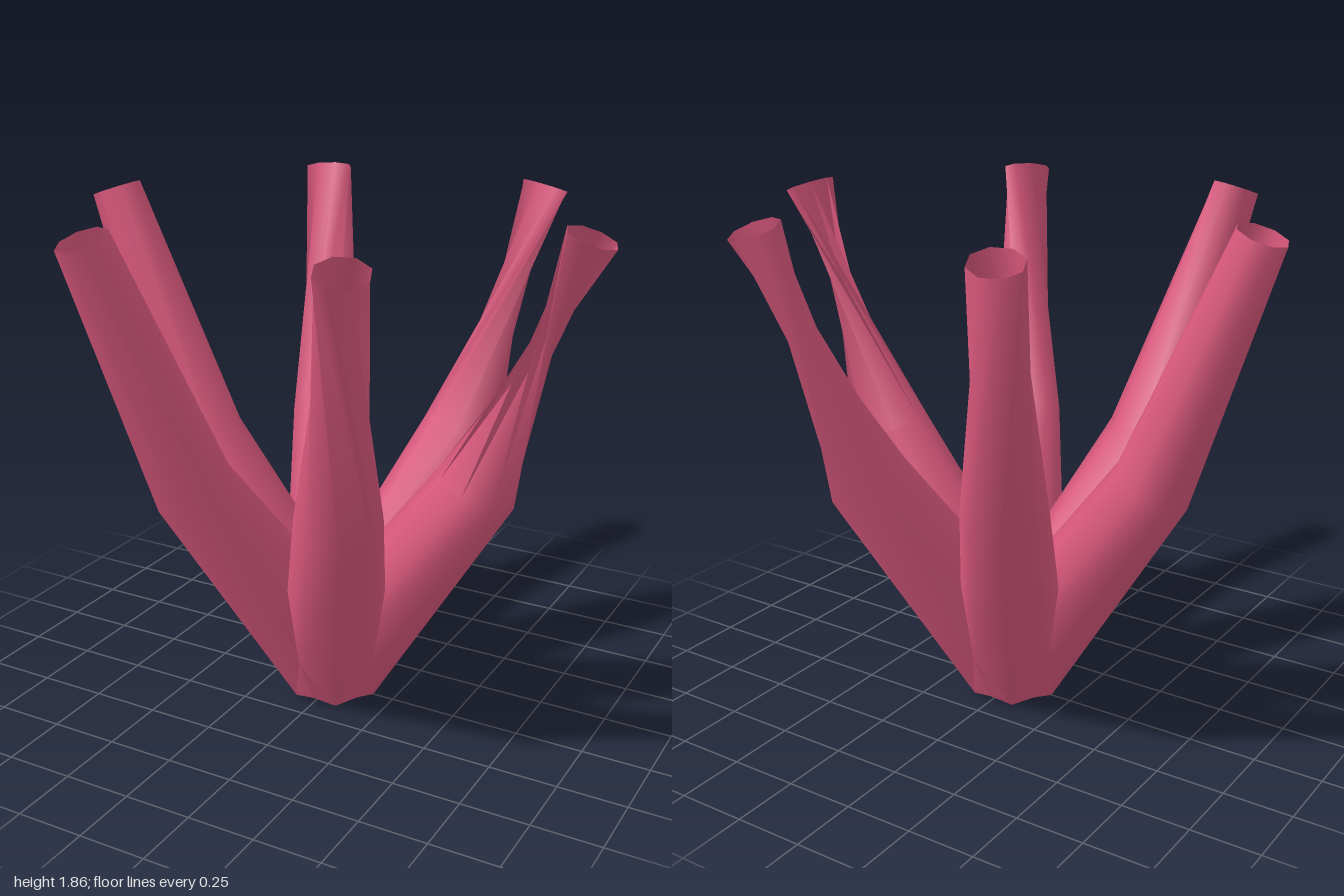
import * as THREE from 'three';

const SIDES = 8;

// Ring stations of every arm: distance from the axis, height, radius, lean.
const STATIONS = [
  { out: 0, y: 0.115, r: 0.2, lean: 0.57 },
  { out: 0.565, y: 0.94, r: 0.148, lean: 0.42 },
  { out: 0.917, y: 1.84, r: 0.09, lean: 0.34 },
];

// One open tube; the tip ring keeps a fixed heading, so the arm twists.
function armGeometry(azimuth) {
  const outward = new THREE.Vector3(Math.cos(azimuth), 0, Math.sin(azimuth));
  const axis = new THREE.Vector3(0, 1, 0).cross(outward);
  const positions = [];
  const indices = [];
  STATIONS.forEach((s, level) => {
    const start = level === 2 ? Math.PI : azimuth;
    for (let i = 0; i < SIDES; i++) {
      const a = start + (i / SIDES) * Math.PI * 2;
      const p = new THREE.Vector3(Math.cos(a) * s.r, 0, Math.sin(a) * s.r);
      p.applyAxisAngle(axis, s.lean).addScaledVector(outward, s.out);
      positions.push(p.x, p.y + s.y, p.z);
    }
  });
  for (let level = 0; level < STATIONS.length - 1; level++) {
    for (let i = 0; i < SIDES; i++) {
      const b = level * SIDES + i;
      const c = level * SIDES + ((i + 1) % SIDES);
      indices.push(b, b + SIDES, c, c, b + SIDES, c + SIDES);
    }
  }
  const geometry = new THREE.BufferGeometry();
  geometry.setAttribute('position', new THREE.Float32BufferAttribute(positions, 3));
  geometry.setIndex(indices);
  geometry.computeVertexNormals();
  return geometry;
}

export function createModel() {
  const model = new THREE.Group();
  model.name = 'tubeCoral';
  const coral = new THREE.MeshStandardMaterial({ color: 0xd9587d, side: THREE.DoubleSide });
  coral.name = 'coral pink';

  // Six arms fanned evenly about the vertical axis
  for (let k = 0; k < 6; k++) {
    const arm = new THREE.Mesh(armGeometry((k * Math.PI) / 3), coral);
    arm.name = `coralArm${k + 1}`;
    model.add(arm);
  }
  return model;
}
